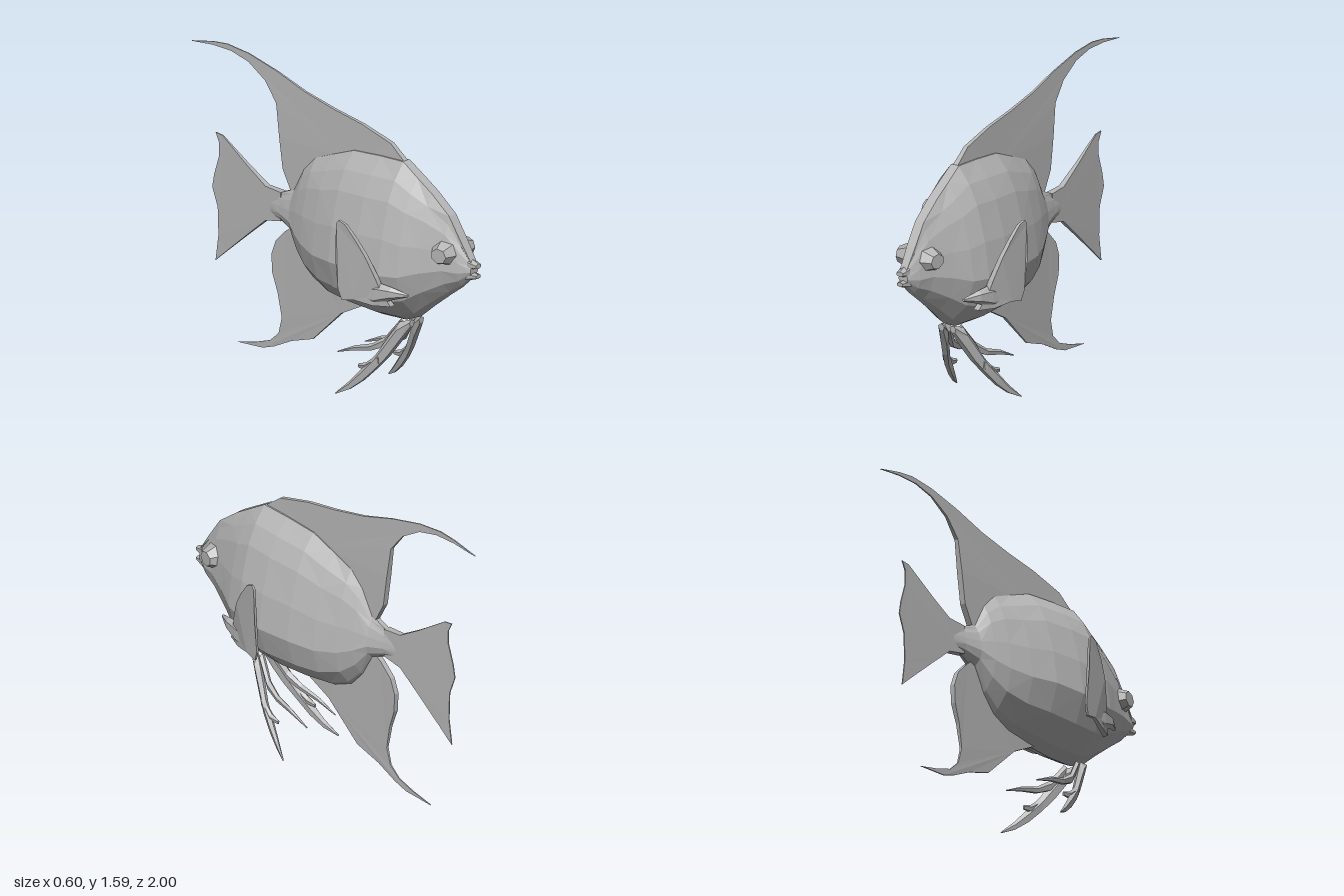
import * as THREE from 'three';

const skin = new THREE.MeshStandardMaterial({ color: 0xb4b4b4 });

// Faceted mesh with one normal per face
function facet(name, geometry) {
  const g = geometry.index ? geometry.toNonIndexed() : geometry;
  g.computeVertexNormals();
  const mesh = new THREE.Mesh(g, skin);
  mesh.name = name;
  return mesh;
}

// Joins rings of [x, y, z] points that run from front to back, with closed ends
function loft(rings) {
  const n = rings[0].length, pos = [];
  const centre = (r) => [0, 1, 2].map((k) => r.reduce((s, p) => s + p[k], 0) / n);
  const first = rings[0], last = rings[rings.length - 1];
  const c0 = centre(first), c1 = centre(last);
  for (let j = 0; j < n; j++) {
    const k = (j + 1) % n;
    pos.push(...c0, ...first[k], ...first[j], ...c1, ...last[j], ...last[k]);
    for (let i = 0; i < rings.length - 1; i++) {
      const a = rings[i], b = rings[i + 1];
      if ((i + j) % 2) pos.push(...a[j], ...a[k], ...b[j], ...a[k], ...b[k], ...b[j]);
      else pos.push(...a[j], ...a[k], ...b[k], ...a[j], ...b[k], ...b[j]);
    }
  }
  return new THREE.BufferGeometry().setAttribute('position', new THREE.Float32BufferAttribute(pos, 3));
}

// Tapered strand along stations of [x, y, z, radiusX, radiusY]
function strand(stations, sides = 5) {
  return loft(stations.map(([x, y, z, rx, ry]) => Array.from({ length: sides }, (_, j) => {
    const a = (j / sides) * Math.PI * 2;
    return [x + rx * Math.sin(a), y + ry * Math.cos(a), z];
  })));
}

// Plate from a [z, y] outline; place(side, y, z) gives x, with side -1 or 1 for the two faces
function plate(outline, place) {
  const shape = new THREE.Shape(outline.map(([z, y]) => new THREE.Vector2(-z, y)));
  const g = new THREE.ExtrudeGeometry(shape, { depth: 2, bevelEnabled: false });
  g.translate(0, 0, -1).rotateY(Math.PI / 2);
  const p = g.attributes.position;
  for (let i = 0; i < p.count; i++) p.setX(i, place(Math.sign(p.getX(i)), p.getY(i), p.getZ(i)));
  return g;
}

function createBody() {
  // z, bottom, top, half width, half width of the ridge
  const stations = [
    [0.97, 0.79, 0.86, 0.028, 0.02],
    [0.9, 0.715, 0.965, 0.06, 0.025],
    [0.82, 0.655, 1.08, 0.085, 0.026],
    [0.7, 0.56, 1.17, 0.135, 0.026],
    [0.6, 0.475, 1.23, 0.182, 0.026],
    [0.5, 0.432, 1.29, 0.21, 0.024],
    [0.34, 0.42, 1.28, 0.222, 0.022],
    [0.15, 0.425, 1.26, 0.207, 0.02],
    [0, 0.44, 1.2, 0.172, 0.018],
    [-0.12, 0.49, 1.15, 0.13, 0.016],
    [-0.2, 0.575, 1.07, 0.095, 0.015],
    [-0.27, 0.7, 0.94, 0.062, 0.014],
    [-0.36, 0.74, 0.9, 0.035, 0.012],
    [-0.47, 0.75, 0.89, 0.01, 0.006],
  ];
  // width and height fractions down one side
  const side = [[0.42, 0.9], [0.65, 0.78], [0.88, 0.56], [1, 0.34], [0.78, 0.16], [0.3, 0.04]];
  return loft(stations.map(([z, b, t, w, ridge]) => {
    const half = [[ridge, t], ...side.map(([f, h]) => [Math.max(f * w, ridge * 0.8), b + h * (t - b)])];
    return [
      ...half.map(([x, y]) => [x, y, z]),
      [0, b, z],
      ...half.reverse().map(([x, y]) => [-x, y, z]),
    ];
  }));
}

export function createModel() {
  const fish = new THREE.Group();
  fish.name = 'fish';
  fish.add(facet('body', createBody()));

  // Parted lips
  fish.add(facet('upperLip', strand([[0, 0.848, 1, 0.022, 0.014], [0, 0.85, 0.95, 0.034, 0.03]], 6)));
  fish.add(facet('lowerLip', strand([[0, 0.793, 1, 0.02, 0.012], [0, 0.785, 0.94, 0.036, 0.026]], 6)));

  // Swept dorsal fin, thinner toward its trailing tip
  fish.add(facet('dorsalFin', plate([
    [0.52, 1.27], [0.4, 1.36], [0.2, 1.41], [0, 1.44], [-0.2, 1.48], [-0.4, 1.54], [-0.6, 1.585],
    [-0.75, 1.597], [-0.85, 1.585], [-1, 1.55], [-0.85, 1.567], [-0.72, 1.567], [-0.6, 1.54],
    [-0.48, 1.47], [-0.4, 1.37], [-0.375, 1.2], [-0.35, 1.03], [-0.28, 0.9], [-0.1, 1], [0.1, 1.2], [0.35, 1.24],
  ], (s, y) => s * Math.max(0.003, 0.016 - Math.max(0, y - 1.25) * 0.04))));

  // Forked tail fin
  fish.add(facet('tailFin', plate([
    [-0.36, 0.9], [-0.47, 0.905], [-0.6, 0.98], [-0.78, 1.095], [-0.83, 1.1], [-0.805, 1.05], [-0.805, 0.98],
    [-0.84, 0.87], [-0.853, 0.8], [-0.815, 0.7], [-0.81, 0.55], [-0.83, 0.41], [-0.75, 0.48],
    [-0.6, 0.61], [-0.47, 0.72], [-0.36, 0.745],
  ], (s, y, z) => s * Math.max(0.003, 0.02 + (z + 0.36) * 0.04))));

  // Lower rear fin
  fish.add(facet('analFin', plate([
    [0.2, 0.43], [0.05, 0.35], [-0.15, 0.16], [-0.3, 0.11], [-0.42, 0.05], [-0.5, 0.022], [-0.68, 0.008],
    [-0.55, 0.04], [-0.45, 0.075], [-0.39, 0.13], [-0.365, 0.22], [-0.39, 0.35], [-0.425, 0.45],
    [-0.43, 0.55], [-0.4, 0.63], [-0.33, 0.7], [-0.26, 0.75], [-0.12, 0.62], [0, 0.5],
  ], (s, y) => s * Math.max(0.003, Math.min(0.014, y * 0.03)))));

  for (const s of [1, -1]) {
    const label = s > 0 ? 'left' : 'right';

    // Bulging eye
    const eye = new THREE.CylinderGeometry(0.045, 0.078, 0.065, 7);
    eye.rotateZ(-Math.PI / 2 * s).scale(1, 0.9, 1);
    eye.rotateY(-0.2 * s).translate(s * 0.085, 0.89, 0.825);
    fish.add(facet(label + 'Eye', eye));

    // Flared pectoral fin with its fleshy root
    fish.add(facet(label + 'PectoralFin', plate([
      [0.57, 0.57], [0.48, 0.565], [0.38, 0.58], [0.31, 0.565], [0.29, 0.62], [0.288, 0.8], [0.295, 0.98],
      [0.31, 1], [0.35, 0.985], [0.41, 0.91], [0.46, 0.83], [0.505, 0.72], [0.53, 0.64],
    ], (f, y, z) => {
      const u = Math.max(0, (z - 0.285) / 0.29);
      return s * (0.296 - 0.1 * u ** 1.6 - 0.1 * Math.max(0, 0.8 - y)) + f * (0.006 + 0.01 * u);
    })));
    fish.add(facet(label + 'PectoralRoot', strand([
      [s * 0.16, 0.645, 0.66, 0.008, 0.008], [s * 0.195, 0.645, 0.58, 0.025, 0.035],
      [s * 0.21, 0.63, 0.5, 0.03, 0.06], [s * 0.235, 0.62, 0.44, 0.01, 0.04],
    ], 6)));

    // Long trailing pelvic fin with a short spur and a thinner branch
    fish.add(facet(label + 'PelvicFin', strand([
      [s * 0.035, 0.44, 0.57, 0.02, 0.02], [s * 0.06, 0.38, 0.51, 0.03, 0.06], [s * 0.085, 0.3, 0.46, 0.026, 0.06],
      [s * 0.115, 0.21, 0.4, 0.022, 0.045], [s * 0.14, 0.13, 0.33, 0.02, 0.04],
      [s * 0.165, 0.06, 0.26, 0.013, 0.025], [s * 0.195, 0.008, 0.19, 0.004, 0.004],
    ])));
    fish.add(facet(label + 'PelvicSpur', strand([
      [s * 0.115, 0.23, 0.42, 0.015, 0.03], [s * 0.13, 0.175, 0.34, 0.016, 0.02], [s * 0.13, 0.165, 0.29, 0.006, 0.012],
    ])));
    fish.add(facet(label + 'PelvicBranch', strand([
      [s * 0.04, 0.42, 0.5, 0.02, 0.03], [s * 0.07, 0.31, 0.42, 0.018, 0.03], [s * 0.085, 0.265, 0.34, 0.014, 0.02],
      [s * 0.095, 0.235, 0.23, 0.01, 0.014], [s * 0.1, 0.188, 0.115, 0.003, 0.003],
    ])));
  }
  return fish;
}
